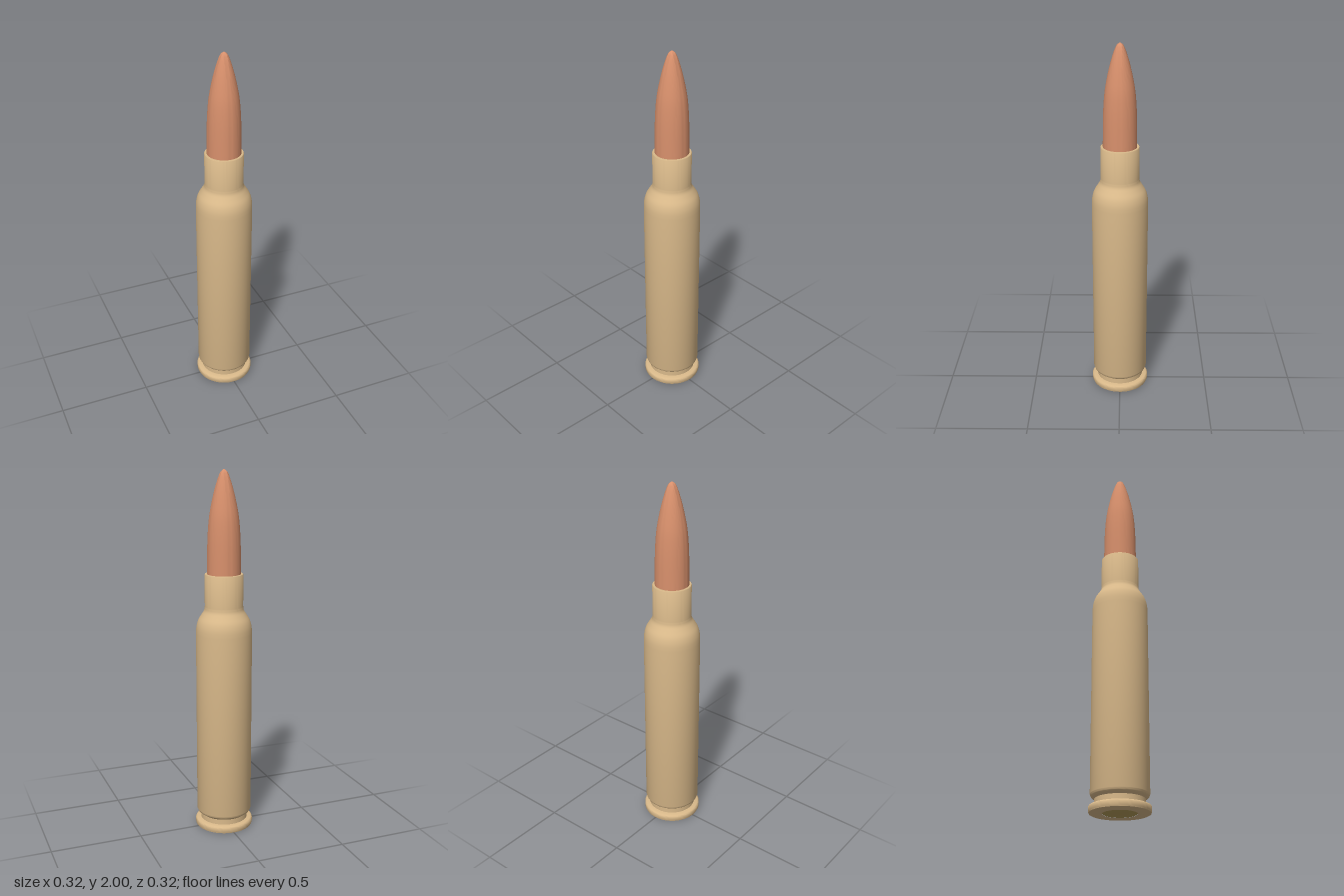
import * as THREE from 'three';
import { toCreasedNormals } from 'three/addons/utils/BufferGeometryUtils.js';

const SEGMENTS = 64;

// Revolves a [radius, height] profile, listed bottom to top, about the y axis
function turned(name, profile, color, crease = 0.6) {
  const points = profile.map(([r, y]) => new THREE.Vector2(r, y));
  const geometry = toCreasedNormals(new THREE.LatheGeometry(points, SEGMENTS), crease);
  const mesh = new THREE.Mesh(geometry, new THREE.MeshStandardMaterial({ color }));
  mesh.name = name;
  return mesh;
}

// Samples a smooth curve through a few [radius, height] points
function smooth(points, count) {
  const curve = new THREE.SplineCurve(points.map(([r, y]) => new THREE.Vector2(r, y)));
  return curve.getPoints(count).map((p) => [p.x, p.y]);
}

export function createModel() {
  const group = new THREE.Group();
  group.name = 'cartridge';
  const brass = 0xd9b98a;

  // Case: flat base, rim, extractor groove, body, shoulder, neck and mouth
  group.add(turned('case', [
    [0.09, 0], [0.152, 0], [0.158, 0.003], [0.161, 0.01],
    [0.161, 0.033], [0.158, 0.038], [0.152, 0.041],
    [0.131, 0.043], [0.131, 0.073],
    ...smooth([[0.137, 0.078], [0.148, 0.087], [0.153, 0.1]], 6),
    ...smooth([[0.153, 1.125], [0.15, 1.163], [0.14, 1.198], [0.122, 1.228], [0.108, 1.252], [0.104, 1.275]], 16),
    [0.104, 1.447], [0.102, 1.45], [0.09, 1.45],
  ], brass));

  // Primer: disc set flush into the base
  group.add(turned('primer', [[0, 0], [0.086, 0], [0.09, 0.002], [0.09, 0.02]], 0xb39a58));

  // Bullet: straight shank and curved nose
  group.add(turned('bullet', [
    [0, 1.36], [0.09, 1.36],
    ...smooth([[0.091, 1.45], [0.0895, 1.58], [0.086, 1.67], [0.079, 1.75], [0.067, 1.82],
      [0.051, 1.89], [0.033, 1.95], [0.018, 1.985], [0, 2]], 32),
  ], 0xd8906c, 0.8));

  return group;
}
